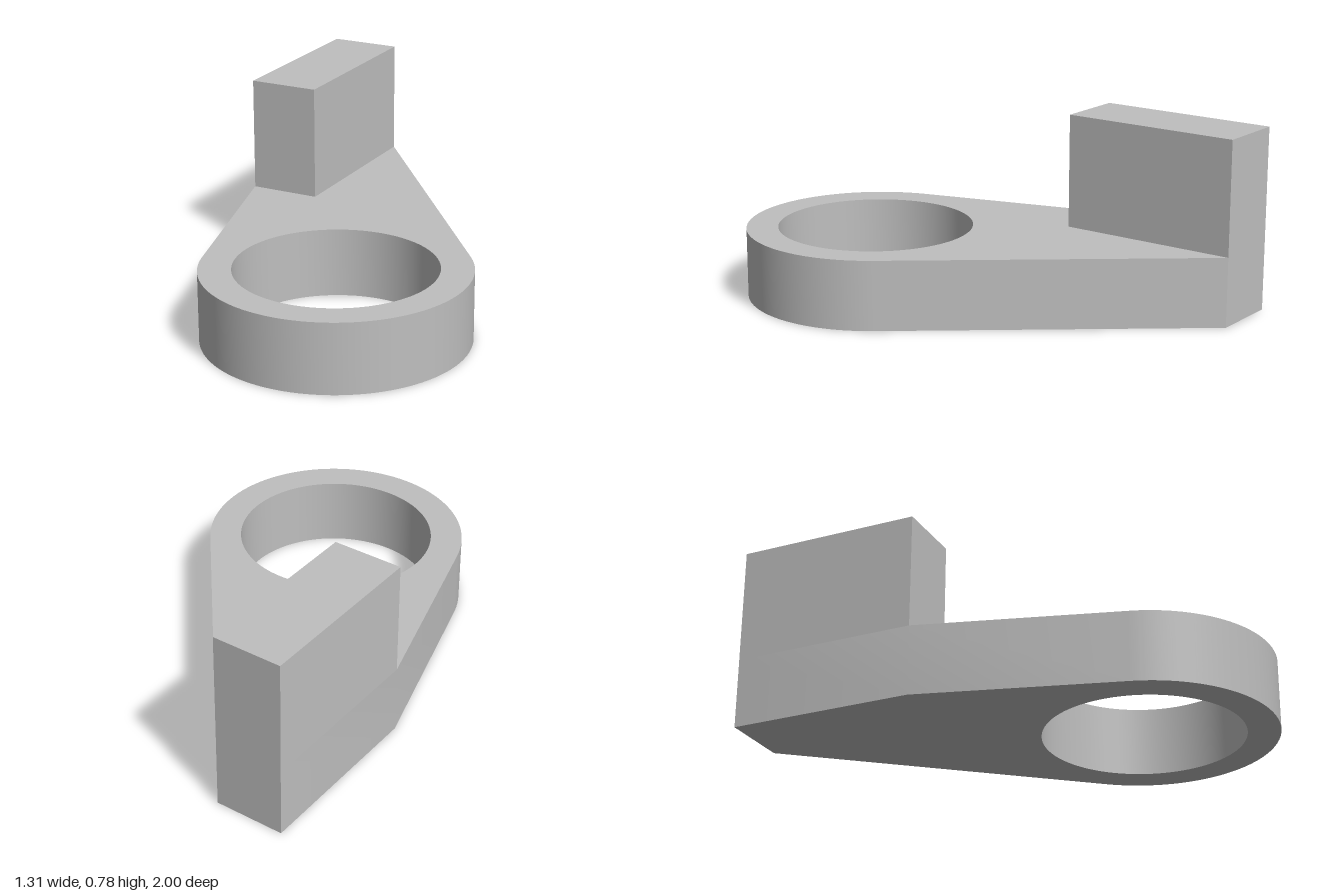
import * as THREE from 'three';
import { toCreasedNormals } from 'three/addons/utils/BufferGeometryUtils.js';

export function createModel() {
  const model = new THREE.Group();
  model.name = 'leverBracket';
  const grey = new THREE.MeshStandardMaterial({ color: 0xbfbfbf });
  grey.name = 'plain grey';

  const thickness = 0.295, top = 0.78;
  const left = -0.655, right = -0.355, back = -1, front = -0.225;
  const centre = new THREE.Vector2(0.107, -0.452); // ring centre, shape y = -z
  const outer = 0.548, hole = 0.414;

  // Angle on the ring where a straight edge from (x, y) touches it
  const tangentAngle = (x, y, side) => {
    const dx = x - centre.x, dy = y - centre.y;
    return Math.atan2(dy, dx) + side * Math.acos(outer / Math.hypot(dx, dy));
  };

  // Ring and tapering arm as one plate
  const outline = new THREE.Shape();
  outline.moveTo(left, -front);
  outline.lineTo(left, -back);
  outline.lineTo(right, -back);
  outline.absarc(centre.x, centre.y, outer,
    tangentAngle(right, -back, -1), tangentAngle(left, -front, 1), true);
  outline.closePath();
  const bore = new THREE.Path();
  bore.absarc(centre.x, centre.y, hole, 0, Math.PI * 2, false);
  outline.holes.push(bore);

  const plateGeometry = new THREE.ExtrudeGeometry(outline, {
    depth: thickness, bevelEnabled: false, curveSegments: 96,
  });
  plateGeometry.rotateX(-Math.PI / 2);
  const plate = new THREE.Mesh(toCreasedNormals(plateGeometry, 0.4), grey);
  plate.name = 'ringPlate';
  model.add(plate);

  // Upright block on the end of the arm
  const block = new THREE.Mesh(
    new THREE.BoxGeometry(right - left, top - thickness, front - back), grey);
  block.position.set((left + right) / 2, (top + thickness) / 2, (front + back) / 2);
  block.name = 'uprightBlock';
  model.add(block);

  return model;
}
